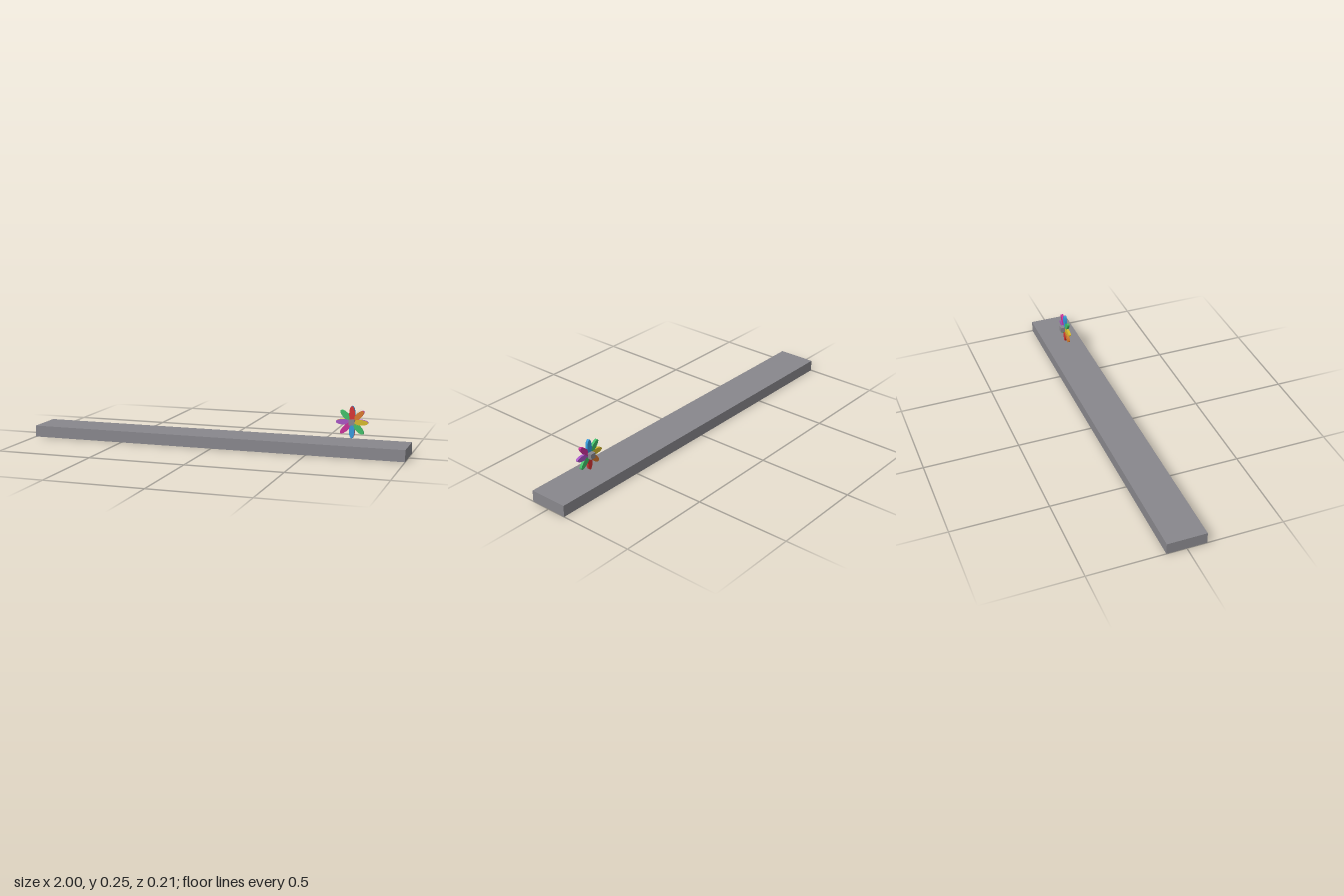
import * as THREE from 'three';

const mat = (name, color) => {
  const m = new THREE.MeshStandardMaterial({ color });
  m.name = name;
  return m;
};

export function createModel() {
  const model = new THREE.Group();
  model.name = 'pinwheelOnSlab';

  const grey = mat('grey', 0x88878c);
  const green = mat('green', 0x3fbf68);
  // petal colours, clockwise from the top
  const colours = [
    mat('red', 0xd63434), mat('orange', 0xd97a2b), mat('yellow', 0xd6b92c), green,
    mat('blue', 0x3498db), mat('magenta', 0xc9309a), mat('purple', 0xa855c4), green,
  ];

  const box = (name, w, h, d, x, y, z) => {
    const m = new THREE.Mesh(new THREE.BoxGeometry(w, h, d), grey);
    m.name = name;
    m.position.set(x, y, z);
    return m;
  };

  // long base slab
  model.add(box('slab', 2, 0.06, 0.206, 0, 0.03, 0));

  // flat flower with a square hub running through it
  const flower = new THREE.Group();
  flower.name = 'flower';
  flower.position.set(0.715, 0.165, 0);
  flower.add(box('hub', 0.029, 0.029, 0.045, 0, 0, 0));

  const outline = new THREE.Shape();
  outline.absellipse(0, 0.041, 0.0145, 0.041, 0, Math.PI * 2);
  const bodyGeo = new THREE.ExtrudeGeometry(outline, { depth: 0.0136, bevelEnabled: false, curveSegments: 16 });
  const faceGeo = new THREE.ShapeGeometry(outline, 16);

  // each petal's back and rim take the colour of the petal opposite
  for (let i = 0; i < 8; i++) {
    const petal = new THREE.Group();
    petal.name = 'petal' + (i + 1);
    petal.rotation.z = -i * Math.PI / 4;
    const body = new THREE.Mesh(bodyGeo, colours[(i + 4) % 8]);
    body.name = 'petalBack';
    const face = new THREE.Mesh(faceGeo, colours[i]);
    face.name = 'petalFace';
    face.position.z = 0.0144;
    petal.add(body, face);
    flower.add(petal);
  }
  model.add(flower);
  return model;
}
